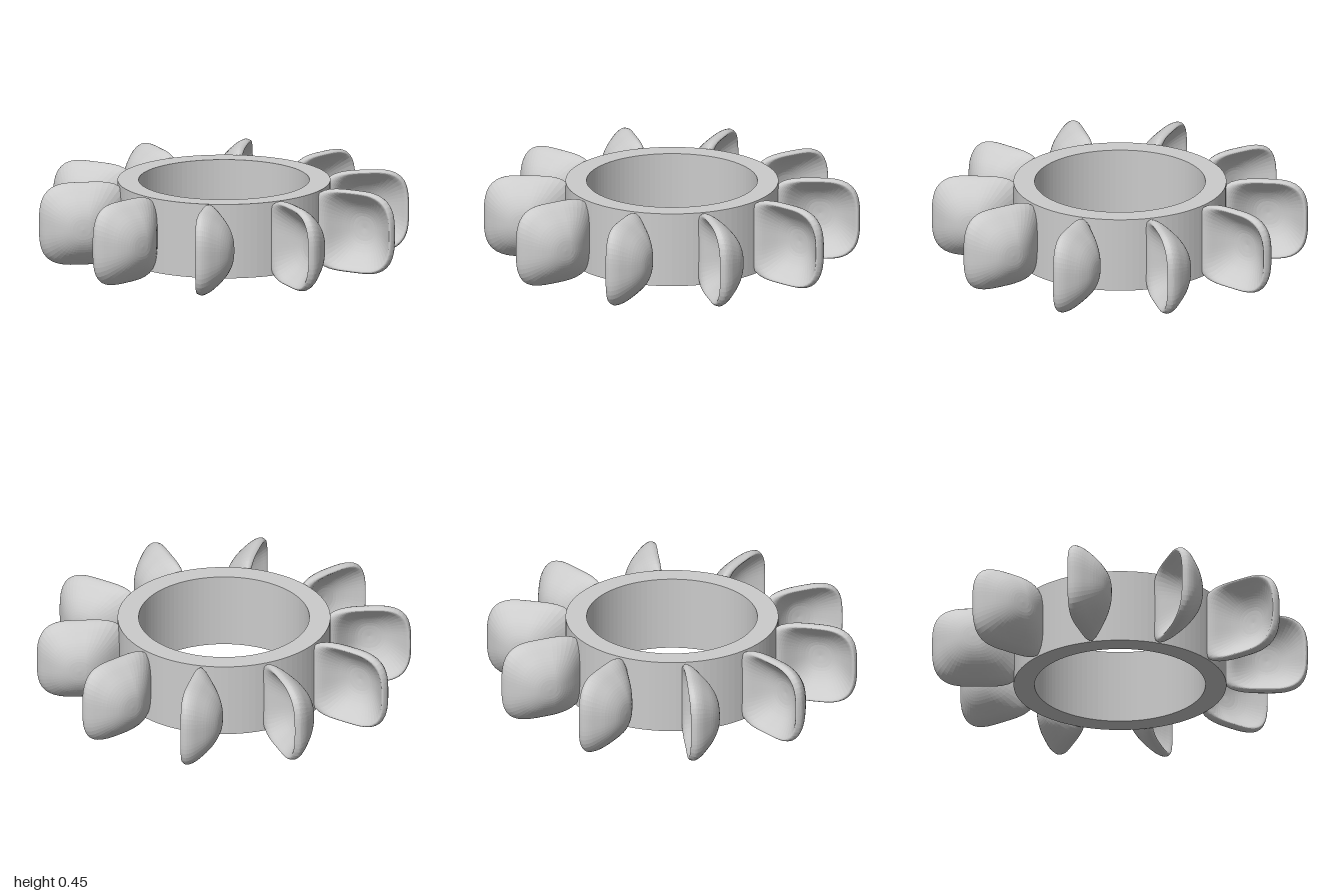
import * as THREE from 'three';

const BUCKETS = 10;
const MID_Y = 0.225;

// Unshared vertices give the fine faceted look
function faceted(geometry) {
  const g = geometry.toNonIndexed();
  g.computeVertexNormals();
  return g;
}

// Hub: a square-section ring
function hubGeometry() {
  const section = [[0.455, 0.025], [0.567, 0.025], [0.567, 0.43], [0.455, 0.43], [0.455, 0.025]];
  return faceted(new THREE.LatheGeometry(section.map(([r, y]) => new THREE.Vector2(r, y)), 96));
}

// Bucket: a hollow shell turned from its profile, then squared off into a rounded scoop
function bucketGeometry() {
  const steps = 42;
  const profile = new THREE.SplineCurve([
    [0, -0.205], [0.25, -0.2], [0.45, -0.185], [0.65, -0.157], [0.85, -0.113], [0.95, -0.083],
    [1, -0.055], [0.985, -0.035], [0.95, -0.026], [0.9, -0.033], [0.8, -0.058],
    [0.65, -0.09], [0.5, -0.114], [0.3, -0.133], [0, -0.141],
  ].map(([s, h]) => new THREE.Vector2(s, h)));
  const points = profile.getPoints(steps);
  points[0].x = points[steps].x = 0;
  const g = new THREE.LatheGeometry(points, 56);
  const p = g.attributes.position;
  for (let i = 0; i < p.count; i++) {
    const a = p.getZ(i), b = p.getX(i), h = p.getY(i);
    const s = Math.hypot(a, b);
    const c = s > 1e-6 ? a / s : 0, d = s > 1e-6 ? b / s : 0;
    // the outline gets squarer from the middle to the rim, most of all at the root
    const n = 2 + (a > 0 ? 1.2 : 2) * Math.min(s, 1) ** 1.5;
    const k = s / Math.max(1e-6, (Math.abs(c) ** n + Math.abs(d) ** n) ** (1 / n));
    // the hollow stops short of the hub, leaving a lip at the root
    const rootLength = 0.26 - 0.05 * THREE.MathUtils.smoothstep(i % (steps + 1), 20, 30);
    const px = 0.78 + k * c * (c > 0 ? 0.22 : rootLength);
    // the shell thins towards the root and its tip bends back
    const thin = 1 - 0.24 * Math.max(0, (0.74 - px) / 0.18) ** 1.5;
    const bend = 0.01 * Math.max(0, (px - 0.88) / 0.12) ** 2;
    p.setXYZ(i, px, MID_Y + k * d * 0.225, h * thin - bend + (0.78 - px) * 0.02);
  }
  return faceted(g);
}

export function createModel() {
  const model = new THREE.Group();
  model.name = 'bucketWheel';
  const grey = new THREE.MeshStandardMaterial({ color: 0xcccccc });
  grey.name = 'grey';

  const hub = new THREE.Mesh(hubGeometry(), grey);
  hub.name = 'hubRing';
  model.add(hub);

  // Ten buckets spaced evenly round the hub
  const shape = bucketGeometry();
  for (let i = 0; i < BUCKETS; i++) {
    const bucket = new THREE.Mesh(shape, grey);
    bucket.name = `bucket${i + 1}`;
    bucket.rotation.y = (i * Math.PI * 2) / BUCKETS;
    model.add(bucket);
  }
  return model;
}
